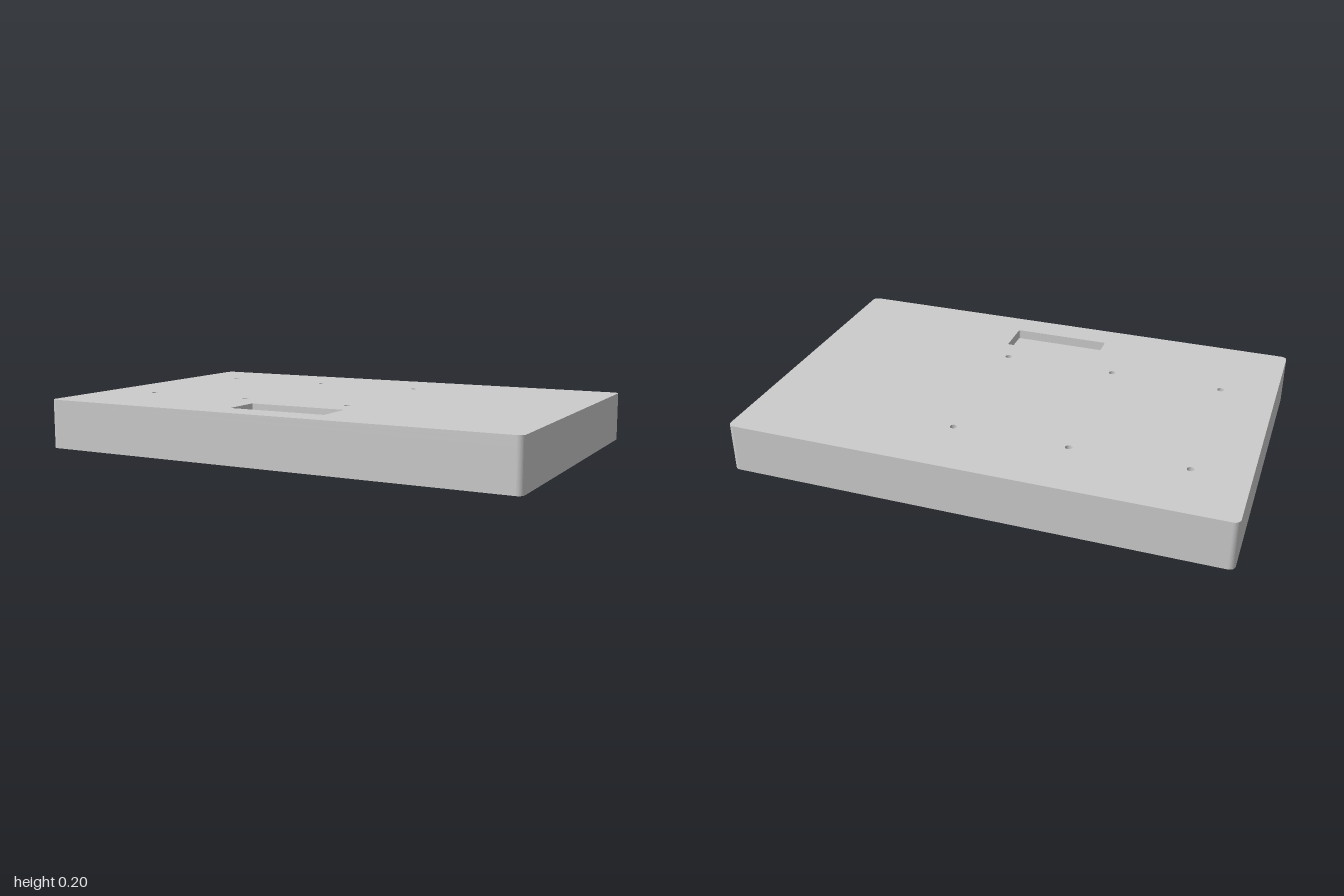
import * as THREE from 'three';

const material = (name, color) => {
  const m = new THREE.MeshStandardMaterial({ color });
  m.name = name;
  return m;
};

// Rounded rectangle given by its x and z limits (shape y is -z)
function rect(x0, x1, z0, z1, r, Type = THREE.Shape) {
  const s = new Type(), a = -z1, b = -z0;
  s.moveTo(x0 + r, a);
  s.lineTo(x1 - r, a);
  s.absarc(x1 - r, a + r, r, -Math.PI / 2, 0);
  s.lineTo(x1, b - r);
  s.absarc(x1 - r, b - r, r, 0, Math.PI / 2);
  s.lineTo(x0 + r, b);
  s.absarc(x0 + r, b - r, r, Math.PI / 2, Math.PI);
  s.lineTo(x0, a + r);
  s.absarc(x0 + r, a + r, r, Math.PI, Math.PI * 1.5);
  return s;
}
const cutout = (x0, x1, z0, z1, r = 0.003) => rect(x0, x1, z0, z1, r, THREE.Path);
const drill = (x, z, r) => new THREE.Path().absarc(x, -z, r, 0, Math.PI * 2);

// Horizontal plate with holes, from height y0 to y1
function plate(name, outline, holes, y0, y1, mat) {
  outline.holes.push(...holes);
  const geo = new THREE.ExtrudeGeometry(outline, { depth: y1 - y0, bevelEnabled: false, curveSegments: 8 });
  geo.rotateX(-Math.PI / 2);
  geo.translate(0, y0, 0);
  const mesh = new THREE.Mesh(geo, mat);
  mesh.name = name;
  return mesh;
}

// Four mirrored corner holes
function corners(x, z, r) {
  return [-1, 1].flatMap(i => [-1, 1].map(j => drill(i * x, j * z, r)));
}

export function createModel() {
  const grey = material('light grey', 0xcccccc);
  const blue = material('board blue', 0x5f93b8);
  const ochre = material('board ochre', 0xb8984a);
  const model = new THREE.Group();
  model.name = 'enclosure';

  // Housing: stacked layers around an open-bottomed cavity
  const housing = new THREE.Group();
  housing.name = 'housing';
  const outer = () => rect(-1, 1, -0.655, 0.655, 0.025);
  const slot = () => cutout(-0.205, 0.205, 0.38, 0.535, 0.006);
  const screwHoles = [-0.775, -0.31, 0.16].flatMap(x => [-0.375, 0.265].map(z => drill(x, z, 0.014)));
  housing.add(
    plate('bottomLip', outer(), [cutout(-0.78, 0.78, -0.475, 0.405)], 0, 0.02, grey),
    plate('sideWalls', outer(), [cutout(-0.8, 0.8, -0.495, 0.425)], 0.02, 0.16, grey),
    plate('innerCeiling', outer(), [slot(), cutout(0.35, 0.464, 0.306, 0.42)], 0.16, 0.18, grey),
    plate('topPanel', outer(), [slot(), ...screwHoles], 0.18, 0.2, grey)
  );
  model.add(housing);

  // Two crossed mounting boards in the bottom opening
  model.add(
    plate('wideBoard', rect(-0.505, 0.505, -0.365, 0.365, 0.035), corners(0.465, 0.32, 0.014), 0, 0.03, blue),
    plate('longBoard', rect(-0.37, 0.37, -0.425, 0.425, 0.02), corners(0.32, 0.395, 0.012), 0.001, 0.029, ochre)
  );
  return model;
}
